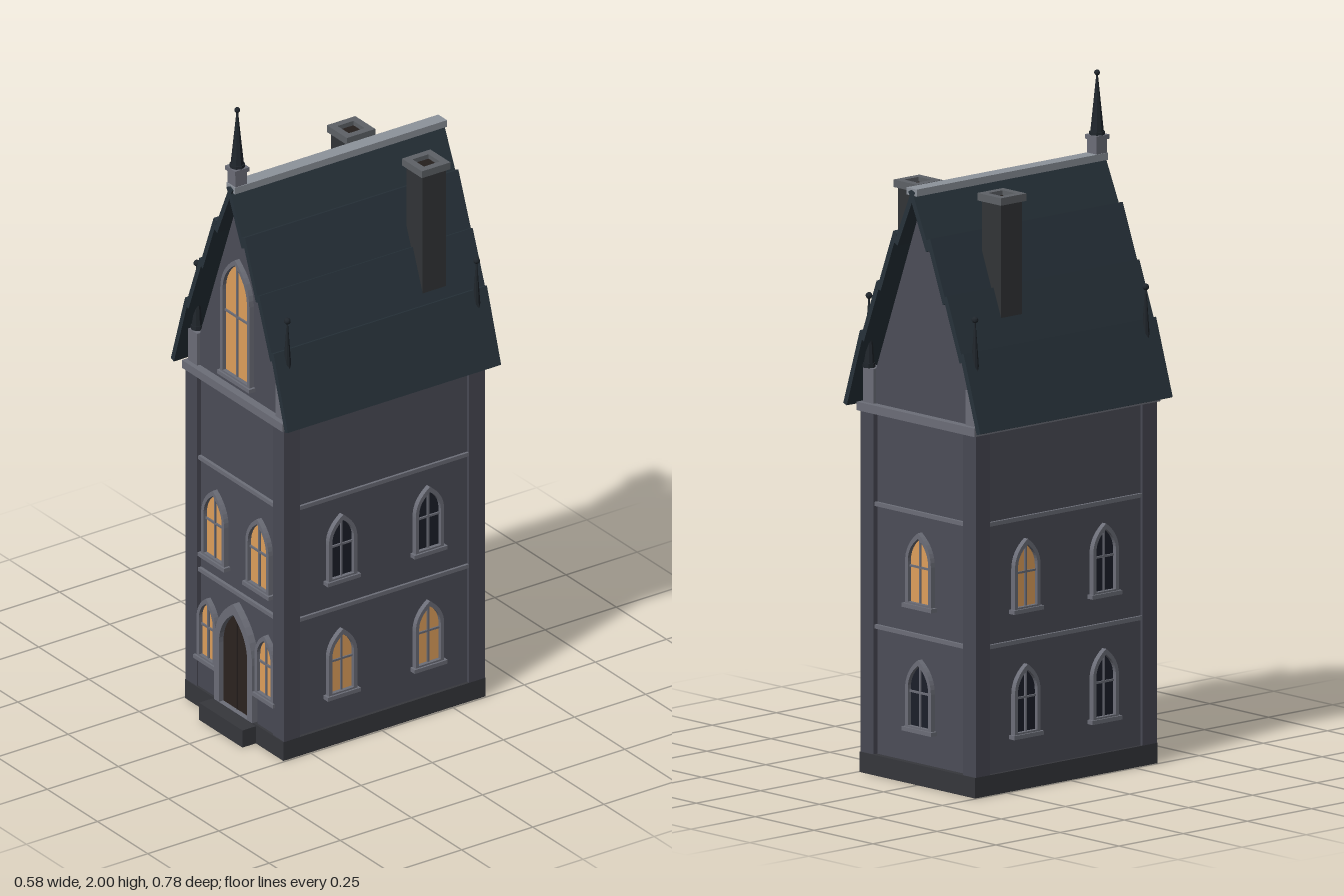
import * as THREE from 'three';

const mat = (color, opts = {}) => new THREE.MeshStandardMaterial({ color, ...opts });
const M = {
  wall: mat(0x4c4d58), pier: mat(0x484954), trim: mat(0x6c6e78), base: mat(0x36373c),
  roof: mat(0x27323a), ridge: mat(0x8d939b), chimney: mat(0x323437), cap: mat(0x5e6267),
  soot: mat(0x251f1d), lit: mat(0xe0a05c), dark: mat(0x1b1f2a), door: mat(0x2c231f),
  spire: mat(0x20262c, { flatShading: true }),
};

const FRONT = 0.325, BACK = -0.35, SIDE = 0.235, MID = -0.0125;

function add(parent, name, geo, material, x = 0, y = 0, z = 0) {
  const m = new THREE.Mesh(geo, material);
  m.name = name;
  m.position.set(x, y, z);
  parent.add(m);
  return m;
}

// Box given by its limits on each axis
function box(parent, name, material, [x0, x1], [y0, y1], [z0, z1]) {
  return add(parent, name, new THREE.BoxGeometry(x1 - x0, y1 - y0, z1 - z0), material,
    (x0 + x1) / 2, (y0 + y1) / 2, (z0 + z1) / 2);
}

const extrude = (shape, depth) =>
  new THREE.ExtrudeGeometry(shape, { depth, bevelEnabled: false, curveSegments: 8 });

// Pointed arch outline standing on y = y0
function arch(target, w, h, y0 = 0) {
  const r = w / 2, spring = h - w * 0.85;
  target.moveTo(-r, y0);
  target.lineTo(r, y0);
  target.lineTo(r, spring);
  target.quadraticCurveTo(r, spring + w * 0.5, 0, h);
  target.quadraticCurveTo(-r, spring + w * 0.5, -r, spring);
  target.lineTo(-r, y0);
  return target;
}

function archFrame(w, h, t, depth, open) {
  const s = arch(new THREE.Shape(), w, h);
  s.holes.push(arch(new THREE.Path(), w - 2 * t, h - t * 1.4, open ? 0.001 : t * 0.6));
  return extrude(s, depth);
}

// Window facing local +z, its foot at the origin
function archWindow(parent, name, pane, w, h, pos, turn = 0) {
  const g = new THREE.Group();
  g.name = name;
  const t = 0.012;
  add(g, 'windowFrame', archFrame(w, h, t, 0.016), M.trim);
  add(g, 'windowPane', extrude(arch(new THREE.Shape(), w - t, h - t), 0.004), pane);
  box(g, 'mullion', M.trim, [-0.003, 0.003], [0, h - t], [0, 0.009]);
  box(g, 'transom', M.trim, [-w / 2 + t / 2, w / 2 - t / 2], [h * 0.51, h * 0.51 + 0.006], [0, 0.009]);
  box(g, 'windowSill', M.trim, [-w / 2 - 0.008, w / 2 + 0.008], [-0.01, 0.002], [-0.002, 0.022]);
  g.position.set(...pos);
  g.rotation.y = turn;
  parent.add(g);
}

// Slender pointed finial with a ball on top
function finial(parent, name, x, y, z, r, h) {
  const g = new THREE.Group();
  g.name = name;
  add(g, 'finialCollar', new THREE.CylinderGeometry(r * 1.15, r * 1.15, h * 0.06, 8), M.spire, 0, h * 0.03);
  add(g, 'finialSpike', new THREE.CylinderGeometry(r * 0.12, r, h * 0.9, 8), M.spire, 0, h * 0.48);
  add(g, 'finialBall', new THREE.SphereGeometry(h * 0.045, 10, 8), M.spire, 0, h * 0.955);
  g.position.set(x, y, z);
  parent.add(g);
}

// Chimney stack with a hollow cap
function chimney(parent, x, z) {
  const g = new THREE.Group();
  g.name = 'chimney';
  add(g, 'chimneyStack', new THREE.BoxGeometry(0.082, 0.47, 0.082), M.chimney, 0, 1.475);
  add(g, 'flue', new THREE.BoxGeometry(0.06, 0.012, 0.06), M.soot, 0, 1.712);
  const ring = new THREE.Shape([[-1, -1], [1, -1], [1, 1], [-1, 1]].map(([a, b]) => new THREE.Vector2(a * 0.05, b * 0.05)));
  ring.holes.push(new THREE.Path([[-1, -1], [-1, 1], [1, 1], [1, -1]].map(([a, b]) => new THREE.Vector2(a * 0.028, b * 0.028))));
  add(g, 'chimneyCap', extrude(ring, 0.022).rotateX(-Math.PI / 2), M.cap, 0, 1.71);
  g.position.set(x, 0, z);
  parent.add(g);
}

export function createModel() {
  const house = new THREE.Group();
  house.name = 'house';

  // Plinth, step and walls
  box(house, 'plinth', M.base, [-0.245, 0.245], [0, 0.06], [-0.368, 0.343]);
  box(house, 'doorStep', M.base, [-0.108, 0.108], [0, 0.055], [0.34, 0.39]);
  box(house, 'walls', M.wall, [-SIDE, SIDE], [0.06, 1.075], [BACK, FRONT]);

  // Corner piers, gable shoulders and corner finials
  for (const s of [-1, 1]) {
    for (const [z, fz] of [[0.3125, 0.315], [-0.3375, -0.35]]) {
      add(house, 'cornerPier', new THREE.BoxGeometry(0.055, 1.01, 0.055), M.pier, s * 0.2175, 0.565, z);
      add(house, 'gableShoulder', new THREE.BoxGeometry(0.045, 0.11, 0.045), M.trim, s * 0.218, 1.135, z);
      finial(house, 'cornerFinial', s * 0.225, 1.19, fz, 0.016, 0.22);
    }
  }

  // String courses and cornice
  for (const y of [0.435, 0.795]) {
    box(house, 'stringCourse', M.trim, [-0.19, 0.19], [y - 0.006, y + 0.006], [BACK - 0.01, FRONT + 0.01]);
    box(house, 'stringCourse', M.trim, [-SIDE - 0.008, SIDE + 0.008], [y - 0.006, y + 0.006], [-0.31, 0.285]);
  }
  box(house, 'cornice', M.trim, [-0.25, 0.25], [1.063, 1.088], [-0.375, 0.35]);

  // Attic with gable ends
  const gable = new THREE.Shape([[-0.236, 1.08], [0.236, 1.08], [0, 1.71]].map((p) => new THREE.Vector2(...p)));
  add(house, 'attic', extrude(gable, FRONT - BACK), M.wall, 0, 0, BACK);

  // Roof courses: outer top and bottom of each slab, mirrored to both slopes
  const courses = [
    [0.0, 1.752, 0.075, 1.585], [0.078, 1.62, 0.147, 1.44],
    [0.149, 1.462, 0.218, 1.28], [0.22, 1.305, 0.291, 1.08],
  ];
  for (const [x0, y0, x1, y1] of courses) {
    const len = Math.hypot(x1 - x0, y1 - y0), t = 0.016;
    const nx = ((y1 - y0) / len) * t, ny = (-(x1 - x0) / len) * t;
    for (const s of [-1, 1]) {
      const quad = [[x0, y0], [x0 + nx, y0 + ny], [x1 + nx, y1 + ny], [x1, y1]];
      const shape = new THREE.Shape(quad.map(([x, y]) => new THREE.Vector2(s * x, y)));
      add(house, 'roofCourse', extrude(shape, 0.75), M.roof, 0, 0, -0.39);
    }
  }
  box(house, 'ridgeCap', M.ridge, [-0.022, 0.022], [1.735, 1.756], [-0.39, 0.355]);

  // Ridge spire
  box(house, 'spireBase', M.trim, [-0.02, 0.02], [1.74, 1.8], [0.312, 0.352]);
  box(house, 'spireBaseCap', M.trim, [-0.025, 0.025], [1.797, 1.81], [0.307, 0.357]);
  finial(house, 'ridgeSpire', 0, 1.808, 0.332, 0.02, 0.192);

  chimney(house, -0.14, -0.167);
  chimney(house, 0.157, -0.221);

  // Front door with its pointed surround
  const door = new THREE.Group();
  door.name = 'frontDoor';
  add(door, 'doorSurround', archFrame(0.19, 0.345, 0.025, 0.022, true), M.trim);
  add(door, 'doorLeaf', extrude(arch(new THREE.Shape(), 0.15, 0.315), 0.006), M.door);
  box(door, 'doorSeam', M.soot, [-0.002, 0.002], [0, 0.29], [0, 0.008]);
  door.position.set(0, 0.06, FRONT);
  house.add(door);

  // Front windows and the panels under them
  archWindow(house, 'gableWindow', M.lit, 0.145, 0.385, [0, 1.125, FRONT]);
  for (const s of [-1, 1]) {
    archWindow(house, 'frontUpperWindow', M.lit, 0.115, 0.225, [s * 0.11, 0.497, FRONT]);
    archWindow(house, 'frontLowerWindow', M.lit, 0.092, 0.2, [s * 0.144, 0.16, FRONT]);
    box(house, 'apronPanel', M.pier, [s * 0.1475 - 0.0425, s * 0.1475 + 0.0425], [0.06, 0.138], [FRONT - 0.01, FRONT + 0.01]);
  }

  // Side windows
  const sides = [
    [1, 0.137, M.lit, M.dark], [1, -0.168, M.lit, M.dark],
    [-1, 0.137, M.dark, M.dark], [-1, -0.168, M.dark, M.lit],
  ];
  for (const [s, z, lower, upper] of sides) {
    archWindow(house, 'sideLowerWindow', lower, 0.1, 0.205, [s * SIDE, 0.162, z], s * Math.PI / 2);
    archWindow(house, 'sideUpperWindow', upper, 0.1, 0.205, [s * SIDE, 0.53, z], s * Math.PI / 2);
  }

  // Back windows
  archWindow(house, 'backLowerWindow', M.dark, 0.11, 0.205, [0, 0.162, BACK], Math.PI);
  archWindow(house, 'backUpperWindow', M.lit, 0.11, 0.215, [0, 0.525, BACK], Math.PI);

  return house;
}
